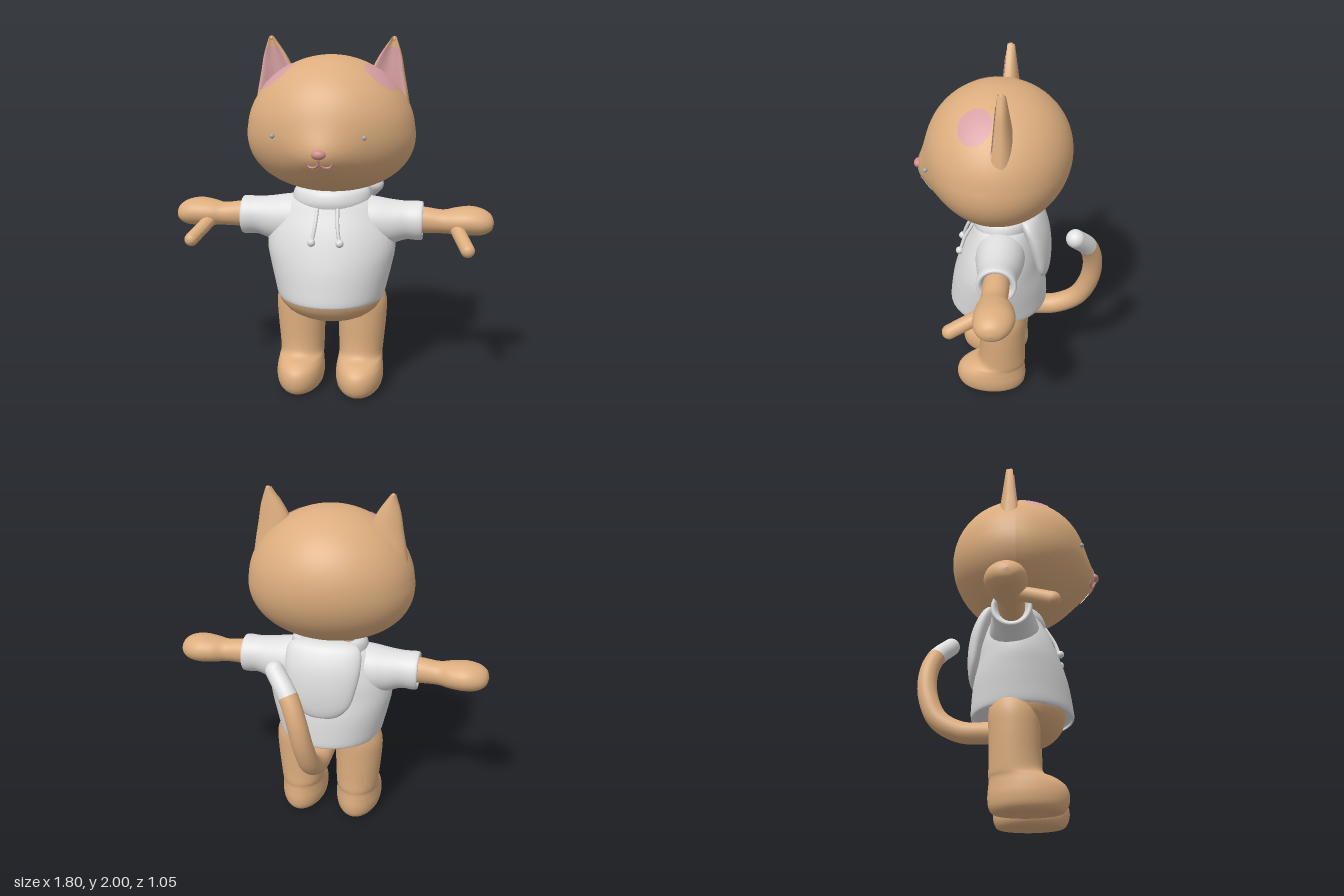
import * as THREE from 'three';

const mat = (name, color, side = THREE.FrontSide) => {
  const m = new THREE.MeshStandardMaterial({ color, side });
  m.name = name;
  return m;
};
const V = (x, y, z) => new THREE.Vector3(x, y, z);

// Smooth grid surface from a point function; rows x cols, optionally closed around
function grid(rows, cols, closed, fn, flip = false) {
  const pos = [], idx = [], w = closed ? cols : cols + 1;
  for (let i = 0; i <= rows; i++)
    for (let j = 0; j < w; j++) pos.push(...fn(i / rows, j / cols).toArray());
  for (let i = 0; i < rows; i++)
    for (let j = 0; j < cols; j++) {
      const k = (j + 1) % w, a = i * w + j, b = i * w + k, c = a + w, d = b + w;
      if (flip) idx.push(a, b, c, b, d, c);
      else idx.push(a, c, b, b, c, d);
    }
  const g = new THREE.BufferGeometry();
  g.setAttribute('position', new THREE.Float32BufferAttribute(pos, 3));
  g.setIndex(idx);
  g.computeVertexNormals();
  return g;
}

// Elliptical loft through rows [station, centreA, radiusA, centreZ, radiusZ] along y or x
function loft(rows, axis = 'y') {
  const cols = [0, 1, 2, 3, 4].map(k =>
    new THREE.SplineCurve(rows.map((r, i) => new THREE.Vector2(i, r[k]))));
  return grid((rows.length - 1) * 5, 40, true, (t, u) => {
    const [s, ca, ra, cz, rz] = cols.map(c => c.getPoint(t).y);
    const p = ca + Math.max(ra, 0) * Math.cos(u * Math.PI * 2);
    const z = cz + Math.max(rz, 0) * Math.sin(u * Math.PI * 2);
    return axis === 'y' ? V(p, s, z) : V(s, p, z);
  }, axis === 'x');
}

// Mirrored copy with its winding restored
function mirror(g) {
  const m = g.clone().scale(-1, 1, 1), ix = m.index;
  for (let i = 0; i < ix.count; i += 3) {
    const a = ix.getX(i);
    ix.setX(i, ix.getX(i + 2));
    ix.setX(i + 2, a);
  }
  m.computeVertexNormals();
  return m;
}

// Head surface: a unit direction mapped to a wide-cheeked ball with a muzzle bump
function headPoint(n, lift = 0) {
  const f = 1 - (n.y < 0 ? 0.16 : 0.08) * n.y;
  const p = V(0.455 * f * n.x, 1.535 + 0.37 * n.y, 0.06 + 0.395 * n.z);
  if (n.z > 0) p.z += 0.065 * Math.exp(-((p.x / 0.16) ** 2) - ((p.y - 1.4) / 0.12) ** 2);
  return p.addScaledVector(n, lift);
}
function onFace(x, y, lift) {
  const ny = (y - 1.535) / 0.37, nx = x / 0.455 / (1 - 0.16 * ny);
  return headPoint(V(nx, ny, Math.sqrt(1 - nx * nx - ny * ny)), lift);
}

// Thin oval of colour lying on the head
function headPatch(dir, ra, rb) {
  const n = dir.clone().normalize();
  const side = V(0, 1, 0).cross(n).normalize(), up = n.clone().cross(side);
  return grid(12, 40, true, (t, u) => headPoint(n.clone()
    .addScaledVector(side, ra * t * Math.cos(u * Math.PI * 2))
    .addScaledVector(up, rb * t * Math.sin(u * Math.PI * 2)).normalize(), 0.004), true);
}

// Ear cross-section point: rounded back, hollow front with a rim
const earPath = [[0.3, 0.125], [0.3, 0.11], [0.3, 0.092], [0.315, 0.06], [0.333, 0.012]].map(
  ([c, w], i) => V(c, w, i));
const earCurve = new THREE.CatmullRomCurve3(earPath);
function earPoint(t, a, lift = 0) {
  const c = earCurve.getPoint(t), s = Math.sin(a), k = 1 - 0.72 * t;
  const z = s < 0 ? 0.075 * k * s : 0.19 * k * s * (1 - s) + 0.01 * s;
  return V(c.x + c.y * Math.cos(a), 1.62 + 0.375 * t, 0.02 + z + lift);
}

export function createModel() {
  const root = new THREE.Group();
  const fur = mat('tan fur', 0xdcad7e);
  const cloth = mat('white cloth', 0xdedede);
  const white = mat('white fur', 0xe2e2e2);
  const pink = mat('ear pink', 0xd69fa2, THREE.DoubleSide);
  const rose = mat('nose rose', 0xcf8b8b);
  const grey = mat('eye grey', 0xa4a9ae);
  const add = (name, g, m) => {
    const mesh = new THREE.Mesh(g, m);
    mesh.name = name;
    root.add(mesh);
    return mesh;
  };
  const pair = (name, g, m) => {
    add('left' + name, g, m);
    add('right' + name, mirror(g), m);
  };
  const ball = (name, p, r, m, sx = 1, sy = 1, sz = 1) => {
    const b = add(name, new THREE.SphereGeometry(r, 24, 16), m);
    b.position.copy(p);
    b.scale.set(sx, sy, sz);
  };

  // Head
  const head = new THREE.SphereGeometry(1, 64, 48), hp = head.attributes.position;
  for (let i = 0; i < hp.count; i++) {
    const p = headPoint(V().fromBufferAttribute(hp, i));
    hp.setXYZ(i, p.x, p.y, p.z);
  }
  head.computeVertexNormals();
  add('head', head, fur);
  add('muzzle', headPatch(V(0, -0.38, 0.925), 0.335, 0.29), white);

  // Ears with pink hollows
  pair('Ear', grid(20, 40, true, (t, u) => earPoint(t, u * Math.PI * 2)), fur);
  pair('EarTip', new THREE.SphereGeometry(0.015, 16, 12).translate(0.333, 1.985, 0.02), fur);
  pair('InnerEar', grid(16, 20, false, (t, u) =>
    earPoint(0.2 + 0.66 * t, 0.42 + u * (Math.PI - 0.84), 0.005)), pink);
  pair('EarPatch', headPatch(V(0.655, 0.72, 0.25), 0.23, 0.26), pink);

  // Face
  for (const [name, x] of [['leftEye', 0.22], ['rightEye', -0.25]])
    ball(name, V(x, 1.515, 0.425), 0.012, grey);
  ball('nose', V(0, 1.437, 0.5), 0.037, rose, 1, 0.68, 0.68);
  const stroke = (pts) => new THREE.TubeGeometry(
    new THREE.CatmullRomCurve3(pts.map(([x, y]) => onFace(x, y, 0.005))), 20, 0.006, 8);
  pair('Mouth', stroke([[0, 1.392], [0.015, 1.375], [0.038, 1.369], [0.058, 1.376], [0.069, 1.395]]), rose);
  add('mouthLine', stroke([[0, 1.43], [0, 1.41], [0, 1.39]]), rose);

  // Hoodie body, sleeves, collar and hood
  add('hoodieBody', loft([
    [0.6, 0, 0, 0.07, 0], [0.585, 0, 0.26, 0.07, 0.25], [0.56, 0, 0.285, 0.07, 0.27],
    [0.575, 0, 0.303, 0.07, 0.283], [0.65, 0, 0.322, 0.067, 0.278], [0.75, 0, 0.345, 0.063, 0.265],
    [0.85, 0, 0.362, 0.06, 0.24], [0.95, 0, 0.35, 0.05, 0.215], [1.05, 0, 0.3, 0.04, 0.18],
    [1.12, 0, 0.23, 0.035, 0.15], [1.16, 0, 0.13, 0.03, 0.1], [1.165, 0, 0, 0.03, 0]]), cloth);
  pair('Sleeve', loft([
    [0.12, 0.98, 0.16, 0.04, 0.14], [0.24, 0.985, 0.145, 0.04, 0.135], [0.34, 0.99, 0.125, 0.04, 0.12],
    [0.42, 1, 0.108, 0.04, 0.105], [0.48, 1, 0.11, 0.04, 0.108], [0.508, 1, 0.106, 0.04, 0.104],
    [0.508, 1, 0.088, 0.04, 0.086], [0.48, 1, 0.07, 0.04, 0.068]], 'x'), cloth);
  add('collar', loft([
    [1.045, 0, 0.15, 0.04, 0.12], [1.065, 0, 0.195, 0.04, 0.155], [1.11, 0, 0.22, 0.038, 0.172],
    [1.16, 0, 0.212, 0.032, 0.165], [1.182, 0, 0.185, 0.03, 0.14], [1.165, 0, 0.15, 0.03, 0.11],
    [1.12, 0, 0.13, 0.03, 0.1]]), cloth);
  add('hood', loft([
    [0.755, 0, 0, -0.19, 0], [0.77, 0, 0.09, -0.19, 0.028], [0.84, 0, 0.16, -0.188, 0.045],
    [0.95, 0, 0.195, -0.172, 0.062], [1.06, 0, 0.213, -0.145, 0.07], [1.15, 0, 0.205, -0.11, 0.062],
    [1.185, 0, 0.15, -0.09, 0.04], [1.19, 0, 0, -0.08, 0]]), cloth);
  add('neck', new THREE.CylinderGeometry(0.14, 0.14, 0.14, 32).scale(1, 1, 0.75).translate(0, 1.14, 0.03), fur);

  // Drawstrings
  pair('Drawstring', new THREE.TubeGeometry(new THREE.CatmullRomCurve3(
    [V(0.055, 1.09, 0.205), V(0.062, 1.0, 0.254), V(0.075, 0.92, 0.281)]), 16, 0.01, 8), cloth);
  pair('DrawstringBead', new THREE.SphereGeometry(0.022, 16, 12).translate(0.077, 0.918, 0.285), cloth);

  // Arms with mitten hands and thumbs
  pair('Arm', loft([
    [0.42, 1.005, 0.075, 0.04, 0.07], [0.52, 1.005, 0.073, 0.04, 0.07], [0.62, 1, 0.066, 0.04, 0.072],
    [0.69, 1.004, 0.074, 0.032, 0.095], [0.77, 1.007, 0.08, 0.028, 0.106], [0.84, 1.003, 0.07, 0.033, 0.092],
    [0.885, 1, 0.042, 0.038, 0.055], [0.9, 1, 0, 0.04, 0]], 'x'), fur);
  const thumb = new THREE.CapsuleGeometry(0.038, 0.2, 8, 20);
  const from = V(0.69, 0.98, 0.07), to = V(0.762, 0.895, 0.265);
  thumb.applyQuaternion(new THREE.Quaternion().setFromUnitVectors(V(0, 1, 0), to.clone().sub(from).normalize()));
  const mid = from.add(to).multiplyScalar(0.5);
  pair('Thumb', thumb.translate(mid.x, mid.y, mid.z), fur);

  // Hips, legs and feet
  ball('hips', V(0, 0.58, 0.1), 1, fur, 0.295, 0.165, 0.205);
  pair('Leg', loft([
    [0.005, 0.172, 0, 0.1, 0], [0.005, 0.172, 0.085, 0.1, 0.155], [0.03, 0.172, 0.122, 0.103, 0.195],
    [0.085, 0.172, 0.136, 0.105, 0.208], [0.14, 0.172, 0.134, 0.1, 0.2], [0.18, 0.172, 0.128, 0.078, 0.175],
    [0.21, 0.172, 0.126, 0.045, 0.145], [0.28, 0.174, 0.13, 0.037, 0.135], [0.42, 0.178, 0.138, 0.035, 0.135],
    [0.53, 0.178, 0.139, 0.033, 0.135], [0.63, 0.165, 0.12, 0.03, 0.12]]), fur);

  // Tail with a white end
  const tail = new THREE.CatmullRomCurve3([V(0, 0.5, 0), V(0, 0.495, -0.14), V(0, 0.505, -0.27),
    V(0.01, 0.58, -0.395), V(0.03, 0.72, -0.46), V(0.06, 0.87, -0.472), V(0.11, 1.0, -0.44), V(0.205, 1.115, -0.365)]);
  const frames = tail.computeFrenetFrames(60);
  const tailPart = (i0, i1) => grid(i1 - i0, 24, true, (t, u) => {
    const i = Math.round(i0 + t * (i1 - i0)), a = u * Math.PI * 2, r = 0.062 - 0.01 * i / 60;
    return tail.getPointAt(i / 60)
      .addScaledVector(frames.normals[i], r * Math.cos(a))
      .addScaledVector(frames.binormals[i], r * Math.sin(a));
  }, true);
  add('tail', tailPart(0, 51), fur);
  add('tailEnd', tailPart(51, 60), white);
  ball('tailTip', tail.getPointAt(1), 0.052, white);

  return root;
}
